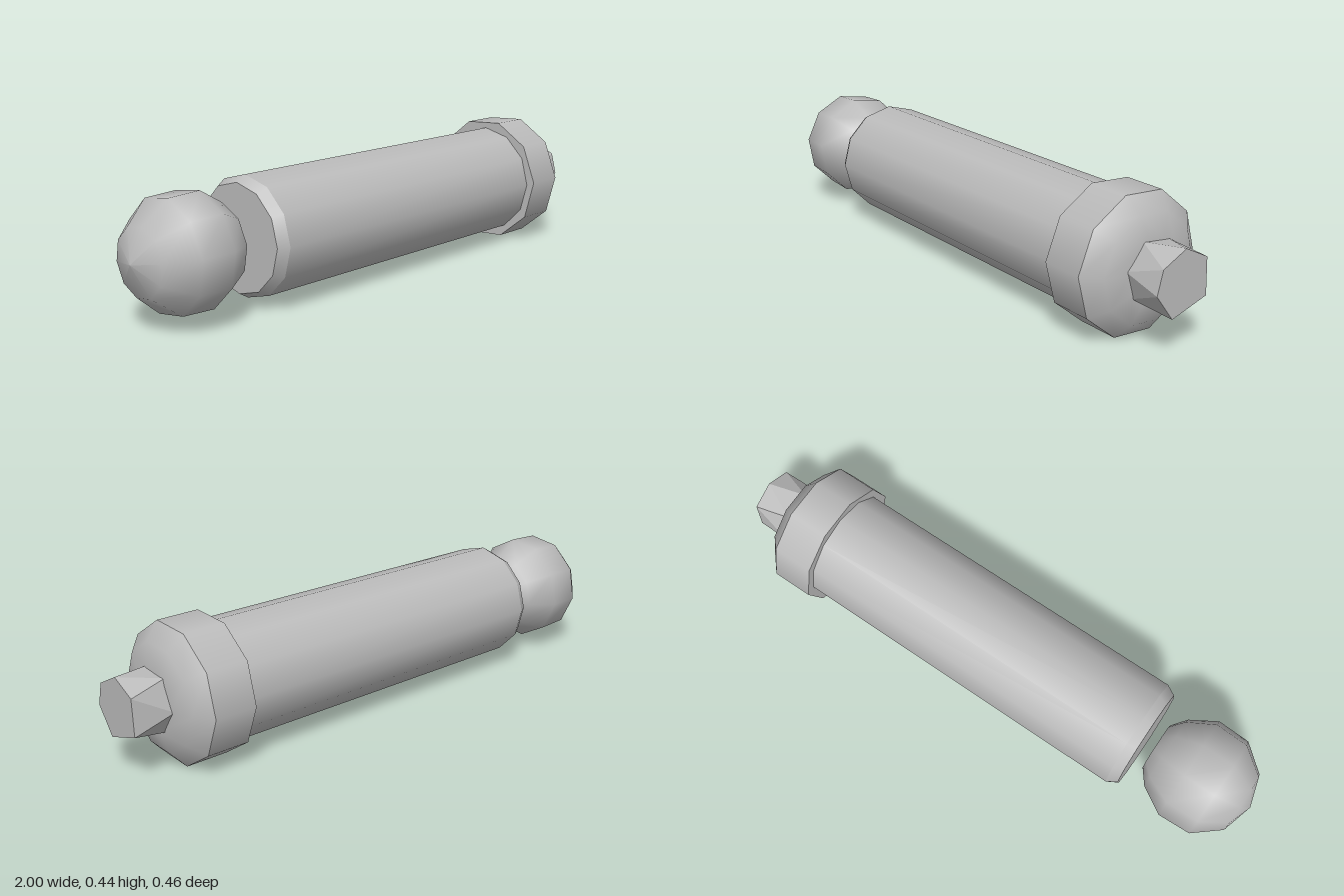
import * as THREE from 'three';
import { ConvexGeometry } from 'three/addons/geometries/ConvexGeometry.js';

const AXIS_Y = 0.227;
const rad = THREE.MathUtils.degToRad;

export function createModel() {
  const model = new THREE.Group();
  model.name = 'pestle';
  const grey = new THREE.MeshStandardMaterial({ color: 0xbbbbbb });
  grey.name = 'plain grey';

  // Turned part along x. Each profile is a list of [x, radius]; separate profiles meet in sharp edges.
  function turned(name, sides, phase, profiles) {
    const part = new THREE.Group();
    part.name = name;
    for (const profile of profiles) {
      const points = profile.map(([x, r]) => new THREE.Vector2(r, x));
      const geometry = new THREE.LatheGeometry(points, sides, rad(-phase));
      geometry.rotateZ(-Math.PI / 2);
      const mesh = new THREE.Mesh(geometry, grey);
      mesh.name = name + 'Surface';
      part.add(mesh);
    }
    part.position.y = AXIS_Y;
    model.add(part);
  }

  // Loose ball, flattened on the side that faces the body
  turned('ball', 10, 8, [
    [[-1, 0], [-0.968, 0.11], [-0.88, 0.183], [-0.765, 0.188], [-0.675, 0.135], [-0.636, 0.085]],
    [[-0.636, 0.085], [-0.636, 0]],
  ]);

  // Long body with a bevelled end
  turned('body', 12, 0, [
    [[-0.595, 0], [-0.595, 0.178]],
    [[-0.595, 0.178], [-0.56, 0.198]],
    [[-0.56, 0.198], [0.67, 0.198]],
  ]);

  // Wider collar with a domed front
  turned('collar', 10, 3, [
    [[0.667, 0.15], [0.667, 0.229]],
    [[0.667, 0.229], [0.812, 0.229]],
    [[0.812, 0.229], [0.86, 0.175], [0.88, 0.1], [0.88, 0]],
  ]);

  // Faceted stud: two irregular hexagons turned against each other
  const ring = (x, r, angles) => angles.map((a) =>
    new THREE.Vector3(x, r * Math.sin(rad(a)), r * Math.cos(rad(a))));
  const stud = new THREE.Mesh(new ConvexGeometry([
    ...ring(0.87, 0.104, [10, 67, 125, 186, 242, 316]),
    ...ring(1, 0.106, [36, 90, 143, 212, 293, 353]),
  ]), grey);
  stud.name = 'stud';
  stud.position.y = AXIS_Y;
  model.add(stud);

  return model;
}
